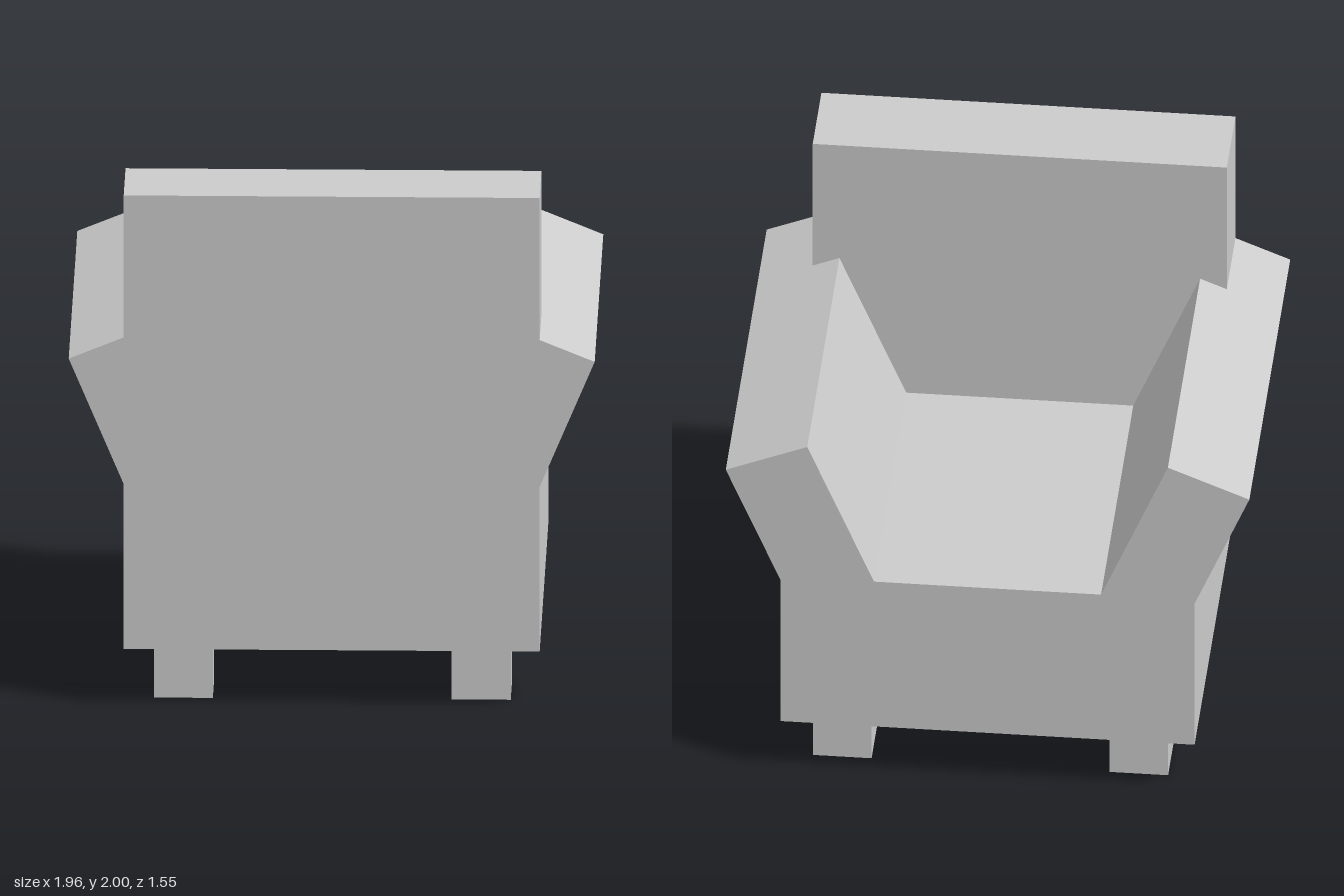
import * as THREE from 'three';

// Mirrors a right-hand outline across x = 0 and extrudes it from z0 to z1.
function symmetricPrism(half, z0, z1, material, name) {
  const mirrored = half.map(([x, y]) => [-x, y]).reverse();
  const shape = new THREE.Shape([...half, ...mirrored].map(([x, y]) => new THREE.Vector2(x, y)));
  const geometry = new THREE.ExtrudeGeometry(shape, { depth: z1 - z0, bevelEnabled: false });
  geometry.translate(0, 0, z0);
  const mesh = new THREE.Mesh(geometry, material);
  mesh.name = name;
  return mesh;
}

export function createModel() {
  const group = new THREE.Group();
  group.name = 'armchair';
  const upholstery = new THREE.MeshStandardMaterial({ color: 0xcccccc });
  upholstery.name = 'light grey';

  const HALF = 0.775;       // half width and depth of the base
  const LEG_HEIGHT = 0.225;
  const seatEdge = [0.425, 0.887];
  const armInnerTop = [0.675, 1.485];
  const armOuterTop = [0.98, 1.36];
  const backMeetsArm = [HALF, 1.444];

  // Base, seat and outward-leaning arms share one cross-section
  group.add(symmetricPrism(
    [[HALF, LEG_HEIGHT], [HALF, 0.87], armOuterTop, armInnerTop, seatEdge],
    -HALF, HALF, upholstery, 'seatAndArms'));

  // Backrest fits between the arms and rests on top of them
  group.add(symmetricPrism(
    [seatEdge, armInnerTop, backMeetsArm, [HALF, 2]],
    0.445, HALF, upholstery, 'backrest'));

  // Four square legs
  const legGeometry = new THREE.BoxGeometry(0.22, LEG_HEIGHT, 0.22);
  for (const x of [-0.555, 0.555]) {
    for (const z of [-0.555, 0.555]) {
      const leg = new THREE.Mesh(legGeometry, upholstery);
      leg.name = 'leg';
      leg.position.set(x, LEG_HEIGHT / 2, z);
      group.add(leg);
    }
  }
  return group;
}
